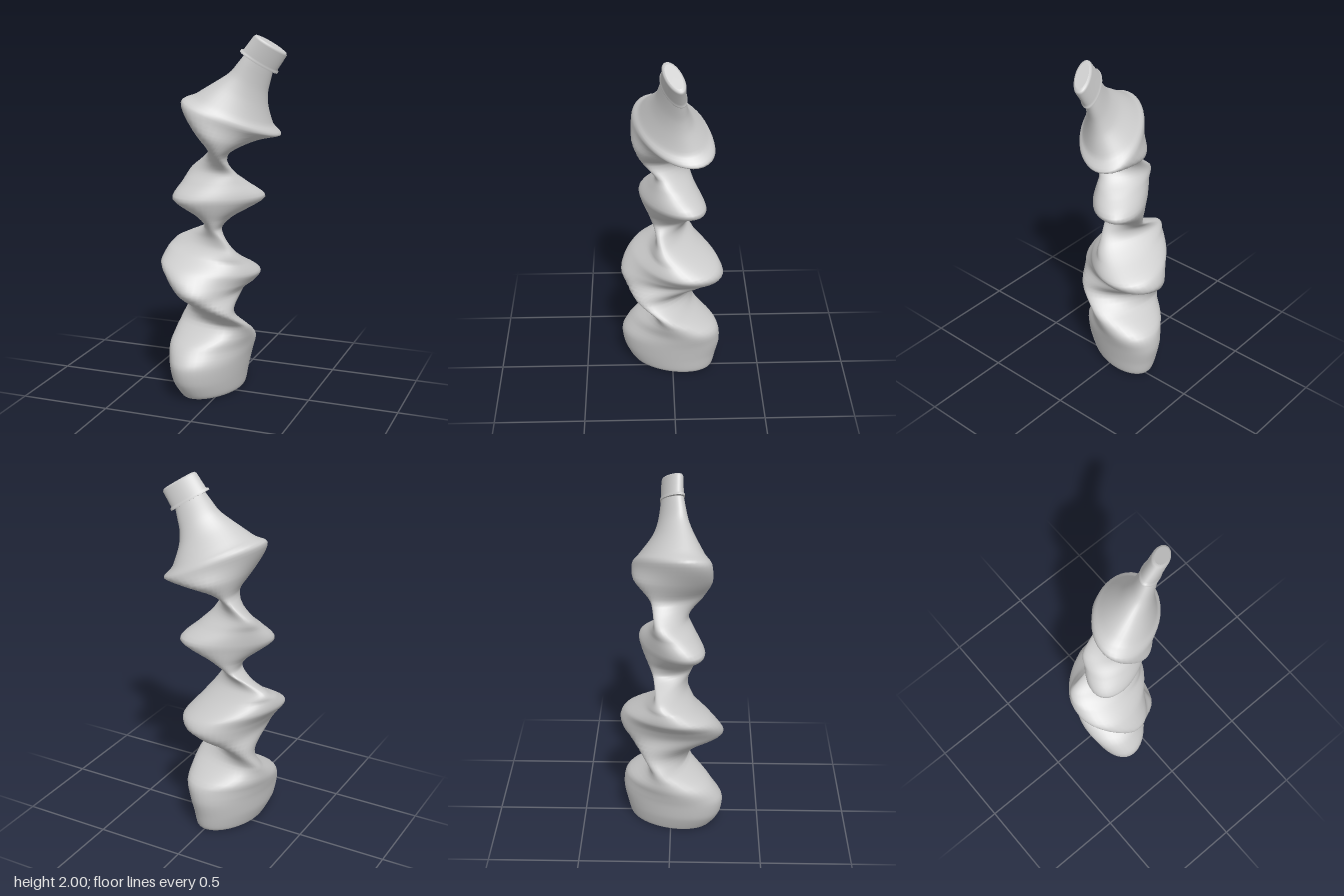
import * as THREE from 'three';

const SIDES = 40;
const { degToRad, clamp, mapLinear } = THREE.MathUtils;

// Cross-sections going up: height, x min, x max, z min, z max
const BODY = [
  [0.02, -0.12, 0.00, -0.11, 0.11],
  [0.00, -0.19, 0.07, -0.20, 0.20],
  [0.02, -0.21, 0.09, -0.23, 0.235],
  [0.10, -0.245, 0.105, -0.25, 0.28],
  [0.20, -0.265, 0.125, -0.27, 0.29],
  [0.30, -0.285, 0.15, -0.25, 0.22],
  [0.40, -0.27, 0.155, -0.12, 0.10],
  [0.50, -0.235, 0.10, -0.16, 0.21],
  [0.60, -0.245, 0.09, -0.26, 0.29],
  [0.66, -0.29, 0.14, -0.285, 0.275],
  [0.72, -0.34, 0.175, -0.255, 0.225],
  [0.79, -0.325, 0.125, -0.145, 0.135],
  [0.85, -0.29, 0.07, -0.09, 0.095],
  [0.90, -0.21, 0.03, -0.085, 0.095],
  [0.95, -0.12, 0.00, -0.10, 0.11],
  [1.01, -0.14, 0.05, -0.13, 0.135],
  [1.11, -0.26, 0.205, -0.18, 0.185],
  [1.20, -0.23, 0.13, -0.12, 0.13],
  [1.27, -0.20, 0.07, -0.09, 0.095],
  [1.37, -0.09, 0.05, -0.11, 0.17],
  [1.465, -0.14, 0.16, -0.205, 0.22],
  [1.55, -0.20, 0.285, -0.215, 0.215],
  [1.60, -0.13, 0.25, -0.175, 0.175],
  [1.685, -0.02, 0.232, -0.105, 0.12],
  [1.755, 0.06, 0.235, -0.075, 0.087],
  [1.86, 0.135, 0.265, -0.058, 0.062],
];

// Cap sections, with the flared rim at the bottom and a bevel on top
const CAP = [
  [1.853, 0.105, 0.285, -0.066, 0.070],
  [1.862, 0.111, 0.291, -0.066, 0.070],
  [1.868, 0.124, 0.288, -0.060, 0.063],
  [1.941, 0.179, 0.337, -0.059, 0.061],
  [1.950, 0.190, 0.336, -0.054, 0.056],
  [1.953, 0.205, 0.325, -0.043, 0.046],
];

// How far the sections lean sideways: height, slope
const LEAN = [
  [0.50, 0], [0.66, -0.14], [0.79, -0.15], [0.93, 0], [1.30, 0], [1.55, -0.4], [1.80, -0.67], [2, -0.67],
];

// Skew of the section: it turns with height, and the fat lobes are rounder than the pinches
function skewAt(y) {
  const turn = degToRad(mapLinear(clamp(y, 0.24, 1.58), 0.24, 1.58, 129, 695));
  const s = Math.sin(2 * turn);
  if (s > 0) return 0.72 * s;
  if (y < 0.9) return 0.33 * s;
  return mapLinear(clamp(y, 1.58, 1.8), 1.58, 1.8, 0.47, 0.72) * s;
}

function leanAt(y) {
  const i = LEAN.findIndex(([height]) => height > y);
  if (i === 0) return 0;
  return mapLinear(y, LEAN[i - 1][0], LEAN[i][0], LEAN[i - 1][1], LEAN[i][1]);
}

// One skewed ellipse as a list of points
function section(c, w) {
  const skew = skewAt(c.y);
  const points = [];
  for (let j = 0; j < SIDES; j++) {
    const t = (j / SIDES) * Math.PI * 2;
    const x = w.x * Math.cos(t);
    const z = w.y * (skew * Math.cos(t) + Math.sqrt(1 - skew * skew) * Math.sin(t));
    points.push([c.x + x, c.y + leanAt(c.y) * x, c.z + z]);
  }
  return points;
}

// Skin a stack of sections and close both ends
function loft(rings) {
  const pos = [], index = [];
  rings.forEach((r) => r.forEach((p) => pos.push(...p)));
  for (let i = 0; i < rings.length - 1; i++) {
    for (let j = 0; j < SIDES; j++) {
      const k = (j + 1) % SIDES;
      const a = i * SIDES + j, b = i * SIDES + k;
      index.push(a, a + SIDES, b, b, a + SIDES, b + SIDES);
    }
  }
  const close = (ring, up) => {
    const start = pos.length / 3;
    ring.forEach((p) => pos.push(...p));
    pos.push(...[0, 1, 2].map((n) => ring.reduce((s, p) => s + p[n], 0) / SIDES));
    for (let j = 0; j < SIDES; j++) {
      const a = start + j, b = start + (j + 1) % SIDES;
      index.push(start + SIDES, up ? b : a, up ? a : b);
    }
  };
  close(rings[0], false);
  close(rings[rings.length - 1], true);
  const geo = new THREE.BufferGeometry();
  geo.setAttribute('position', new THREE.Float32BufferAttribute(pos, 3));
  geo.setIndex(index);
  geo.computeVertexNormals();
  return geo;
}

const centre = ([y, x0, x1, z0, z1]) => new THREE.Vector3((x0 + x1) / 2, y, (z0 + z1) / 2);
const halfSize = ([, x0, x1, z0, z1]) => new THREE.Vector3((x1 - x0) / 2, (z1 - z0) / 2, 0);

export function createModel() {
  const group = new THREE.Group();
  group.name = 'twistedBottle';
  const material = new THREE.MeshStandardMaterial({ color: 0xcccccc });
  const add = (name, geometry) => {
    const mesh = new THREE.Mesh(geometry, material);
    mesh.name = name;
    group.add(mesh);
  };

  // Body: sections smoothly interpolated along the height, dented underneath
  const centres = new THREE.CatmullRomCurve3(BODY.map(centre), false, 'catmullrom', 0.4);
  const sizes = new THREE.CatmullRomCurve3(BODY.map(halfSize), false, 'catmullrom', 0.4);
  const steps = (BODY.length - 1) * 5;
  const rings = [];
  for (let i = 0; i <= steps; i++) {
    rings.push(section(centres.getPoint(i / steps), sizes.getPoint(i / steps)));
  }
  add('bottleBody', loft(rings));

  // Cap: straight walls with small steps
  add('cap', loft(CAP.map((row) => section(centre(row), halfSize(row)))));

  return group;
}
